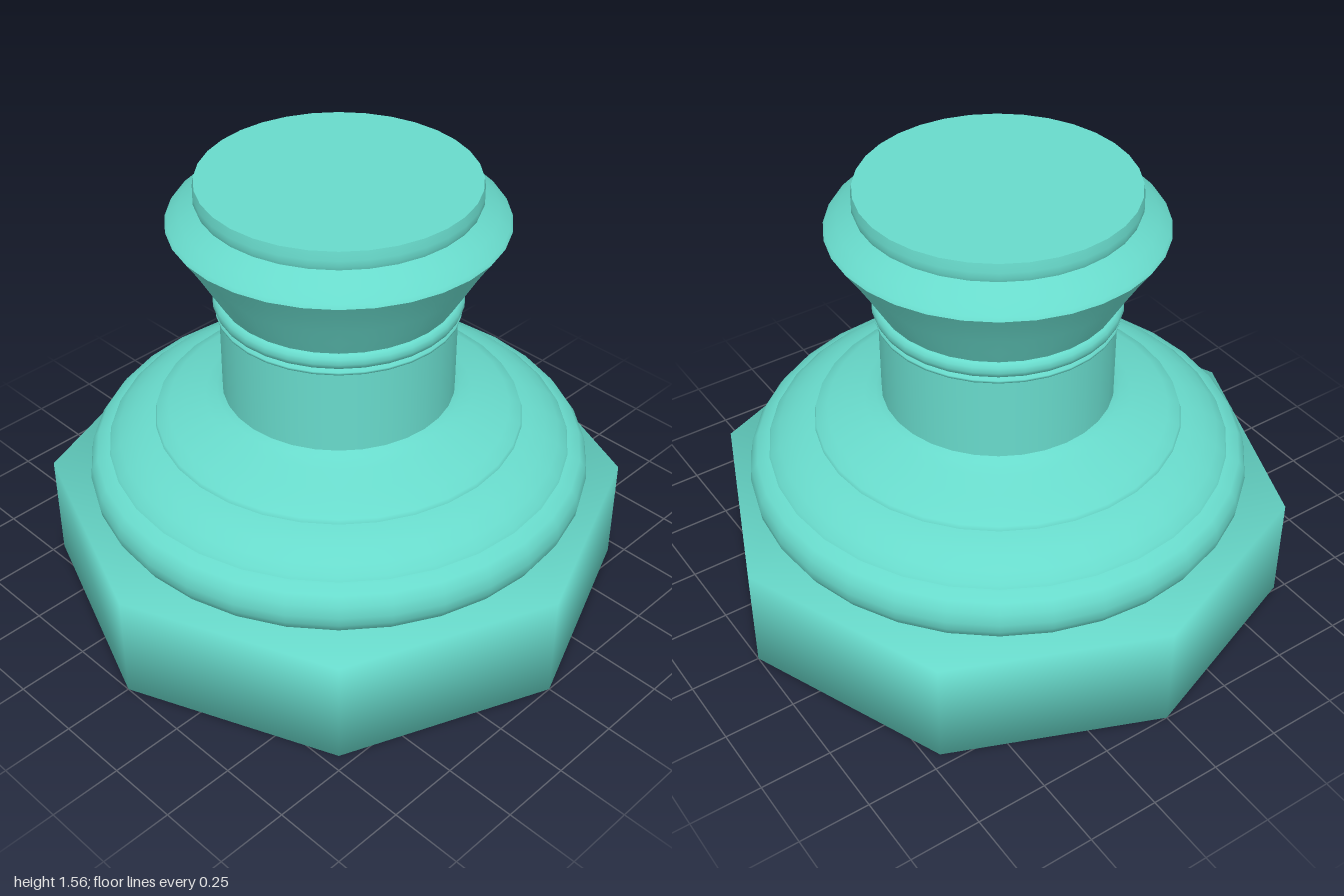
import * as THREE from 'three';

const SIDES = 32;
const material = new THREE.MeshStandardMaterial({ color: 0x68dacb });

// Turned part from [radius, height] points, bottom to top
function turned(name, points) {
  const profile = points.map(([r, y]) => new THREE.Vector2(r, y));
  const mesh = new THREE.Mesh(new THREE.LatheGeometry(profile, SIDES), material);
  mesh.name = name;
  return mesh;
}

// Octagonal plinth with corners on the axes and softly blended normals
function plinth(height) {
  const corners = [];
  for (let i = 0; i < 8; i++) {
    const a = (i * Math.PI) / 4;
    corners.push(new THREE.Vector2(Math.cos(a), Math.sin(a)));
  }
  corners[5].x = -0.74; // one corner sits slightly wide
  const geometry = new THREE.ExtrudeGeometry(new THREE.Shape(corners), { depth: height, bevelEnabled: false });
  geometry.rotateX(-Math.PI / 2);
  // corner 5 has negative shape y, which becomes the +z (front) side
  const pos = geometry.attributes.position;
  const n = new THREE.Vector3();
  for (let i = 0; i < pos.count; i++) {
    const up = pos.getY(i) > height / 2 ? 1 : -1;
    n.set(pos.getX(i) * 1.19, up, pos.getZ(i) * 1.19).normalize();
    geometry.attributes.normal.setXYZ(i, n.x, n.y, n.z);
  }
  const mesh = new THREE.Mesh(geometry, material);
  mesh.name = 'plinth';
  return mesh;
}

export function createModel() {
  const group = new THREE.Group();
  group.name = 'pedestal';
  group.add(plinth(0.39));

  // Stepped, rounded foot
  group.add(turned('footRing', [
    [0.82, 0.385], [0.85, 0.41], [0.868, 0.445], [0.873, 0.48],
    [0.866, 0.52], [0.845, 0.55], [0.81, 0.565], [0.8, 0.568],
  ]));
  group.add(turned('footDome', [
    [0.805, 0.56], [0.795, 0.58], [0.765, 0.607], [0.72, 0.635], [0.67, 0.655], [0.63, 0.664],
  ]));
  group.add(turned('footCollar', [
    [0.637, 0.66], [0.632, 0.678], [0.59, 0.697], [0.53, 0.718], [0.46, 0.743], [0.42, 0.758], [0.4, 0.775],
  ]));

  // Column and its beads
  group.add(turned('column', [[0.4, 0.77], [0.4, 1.16]]));
  group.add(turned('lowerBead', [[0.398, 1.075], [0.41, 1.08], [0.412, 1.09], [0.398, 1.1]]));
  group.add(turned('upperBead', [
    [0.398, 1.1], [0.413, 1.107], [0.42, 1.125], [0.418, 1.143], [0.408, 1.153], [0.398, 1.157],
  ]));

  // Flared head, shoulder and flat top
  group.add(turned('headFlare', [[0.4, 1.155], [0.435, 1.215], [0.475, 1.285], [0.517, 1.355], [0.56, 1.42]]));
  group.add(turned('headShoulder', [[0.56, 1.42], [0.552, 1.432], [0.515, 1.46], [0.478, 1.485], [0.462, 1.497]]));
  group.add(turned('topRim', [[0.462, 1.495], [0.467, 1.51], [0.467, 1.53], [0.462, 1.56]]));
  const top = new THREE.Mesh(new THREE.CircleGeometry(0.462, SIDES).rotateX(-Math.PI / 2), material);
  top.name = 'topFace';
  top.position.y = 1.56;
  group.add(top);

  return group;
}
